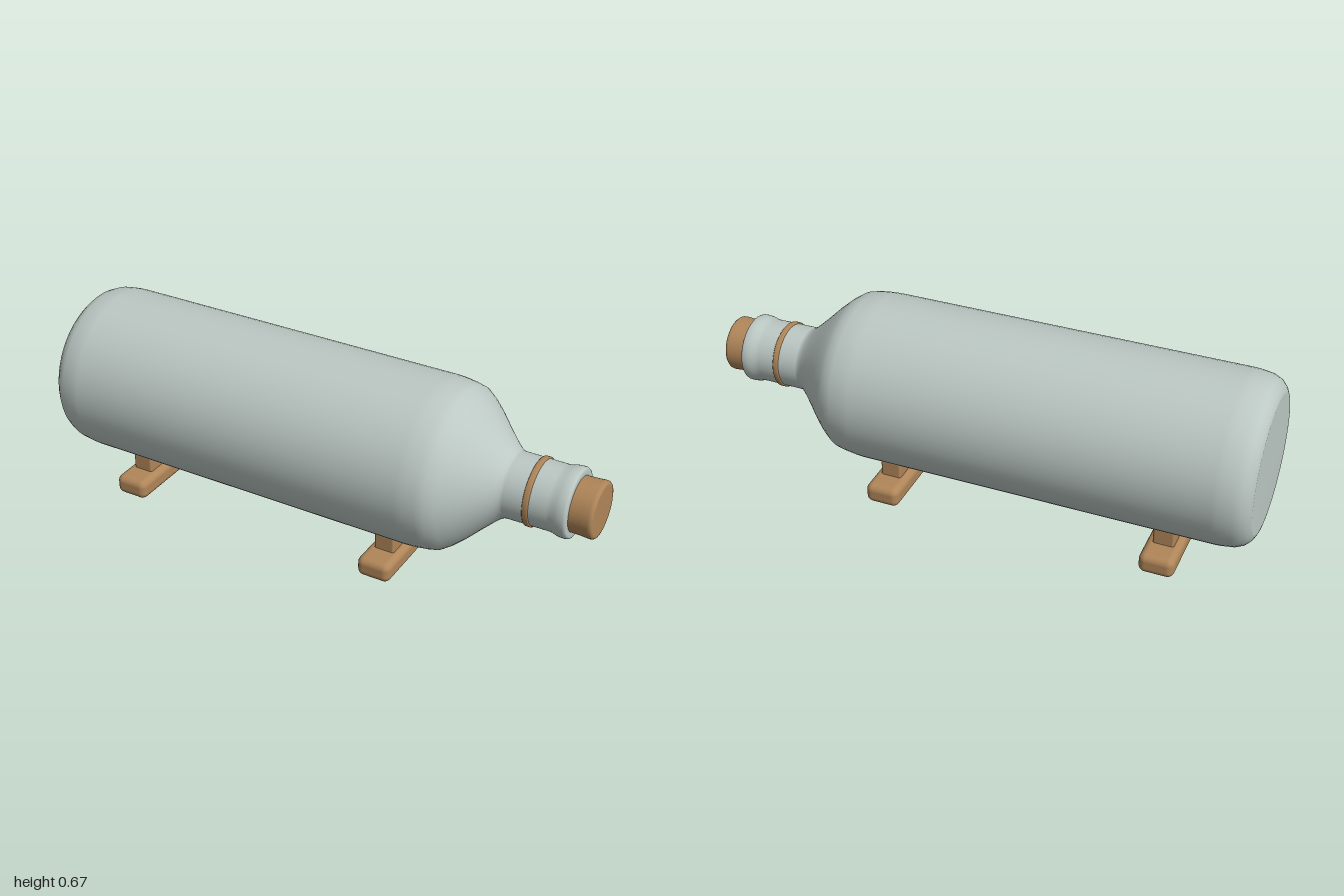
import * as THREE from 'three';
import { RoundedBoxGeometry } from 'three/addons/geometries/RoundedBoxGeometry.js';

const AXIS_Y = 0.375; // height of the bottle's axis

export function createModel() {
  const glass = new THREE.MeshStandardMaterial({ color: 0xbcc8c4 });
  glass.name = 'paleGlass';
  const wood = new THREE.MeshStandardMaterial({ color: 0xb08659 });
  wood.name = 'wood';

  const model = new THREE.Group();
  model.name = 'bottleOnStand';

  // Revolve a profile of [x along the axis, radius] about the bottle's axis
  function turned(name, profile, material) {
    const points = profile.map(([x, r]) => new THREE.Vector2(r, x));
    const mesh = new THREE.Mesh(new THREE.LatheGeometry(points, 64), material);
    mesh.name = name;
    mesh.rotation.z = -Math.PI / 2;
    mesh.position.y = AXIS_Y;
    model.add(mesh);
  }

  // Bottle: flat base, rounded heel, straight body, shoulder, neck and lip
  turned('bottle', [
    [-1, 0], [-1, 0.236], [-0.999, 0.243], [-0.99, 0.262], [-0.972, 0.28], [-0.945, 0.292],
    [-0.9, 0.298], [-0.88, 0.299], [0.4, 0.299], [0.43, 0.297], [0.47, 0.292],
    [0.5, 0.285], [0.53, 0.264], [0.57, 0.228], [0.61, 0.187], [0.65, 0.148],
    [0.675, 0.126], [0.69, 0.117], [0.7, 0.115], [0.85, 0.114], [0.865, 0.115],
    [0.88, 0.12], [0.895, 0.122], [0.91, 0.122], [0.917, 0.119], [0.92, 0.114],
    [0.92, 0.1], [0.919, 0.09], [0.919, 0],
  ], glass);

  // Band around the neck
  turned('neckBand', [
    [0.769, 0.112], [0.769, 0.117], [0.772, 0.12], [0.787, 0.12], [0.79, 0.117], [0.79, 0.112],
  ], wood);

  // Stopper
  turned('cork', [
    [0.9, 0.096], [0.925, 0.096], [0.96, 0.097], [0.985, 0.099], [0.993, 0.098],
    [0.998, 0.094], [0.9995, 0.089], [1, 0.085], [1, 0],
  ], wood);

  // Two cradles, each a foot bar across the bottle with two posts
  function box(parent, name, w, h, d, radius, y, z) {
    const mesh = new THREE.Mesh(new RoundedBoxGeometry(w, h, d, 4, radius), wood);
    mesh.name = name;
    mesh.position.set(0, y + h / 2, z);
    parent.add(mesh);
  }
  for (const [name, x] of [['rearCradle', -0.705], ['neckCradle', 0.305]]) {
    const cradle = new THREE.Group();
    cradle.name = name;
    cradle.position.x = x;
    box(cradle, 'footBar', 0.124, 0.074, 0.512, 0.025, 0.001, 0);
    for (const side of [-1, 1]) {
      box(cradle, 'post', 0.075, 0.09, 0.068, 0.008, 0.045, side * 0.138);
    }
    model.add(cradle);
  }
  return model;
}
